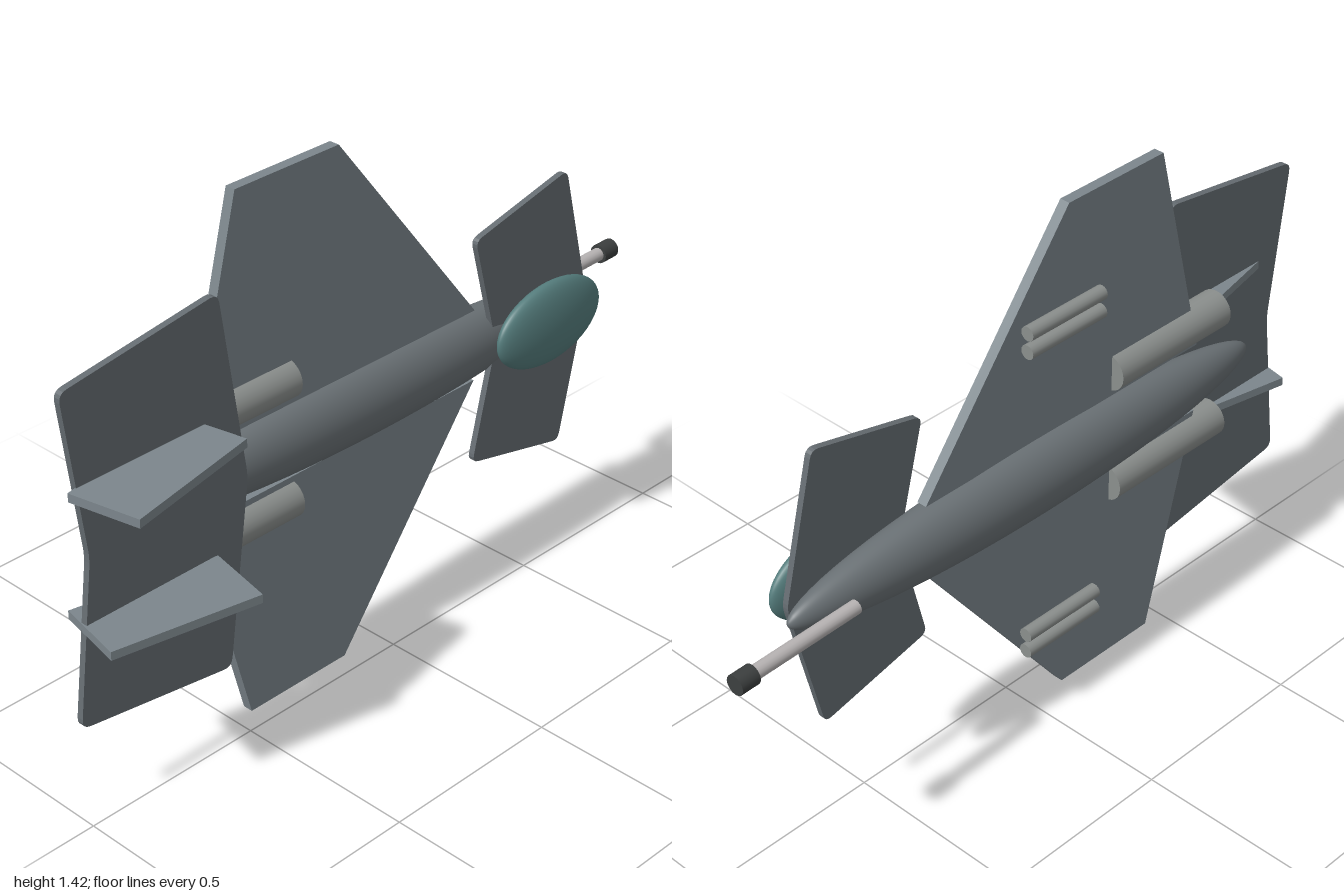
import * as THREE from 'three';

const MID = 0.71; // height of the centre line

const paint = (color, extra = {}) => {
  const m = new THREE.MeshStandardMaterial(extra);
  m.color.set(color);
  return m;
};

// Plate outline in x/y with optionally rounded corners, centred on depth z
function plate(points, thickness, radius) {
  const v = points.map(([x, y]) => new THREE.Vector2(x, y));
  const shape = new THREE.Shape();
  v.forEach((p, i) => {
    const prev = v[(i + v.length - 1) % v.length];
    const next = v[(i + 1) % v.length];
    const a = prev.clone().sub(p).setLength(radius).add(p);
    const b = next.clone().sub(p).setLength(radius).add(p);
    if (i === 0) shape.moveTo(a.x, a.y);
    else shape.lineTo(a.x, a.y);
    if (radius > 0) shape.quadraticCurveTo(p.x, p.y, b.x, b.y);
  });
  shape.closePath();
  const g = new THREE.ExtrudeGeometry(shape, { depth: thickness, bevelEnabled: false, curveSegments: 4 });
  return g.translate(0, 0, -thickness / 2);
}

// Cylinder lying along x
const rod = (radius, length, sides) =>
  new THREE.CylinderGeometry(radius, radius, length, sides).rotateZ(-Math.PI / 2);

export function createModel() {
  const model = new THREE.Group();
  model.name = 'aircraft';

  const hull = paint(0x6a7175);
  const wingGrey = paint(0x7c868c);
  const tailGrey = paint(0x666d72);
  const metal = paint(0x8b8f8d);
  const barrelGrey = paint(0xb8b4b4);
  const dark = paint(0x3c3f3f);
  const glass = paint(0x557d7d);

  const add = (name, geometry, material, x, y, z) => {
    const mesh = new THREE.Mesh(geometry, material);
    mesh.name = name;
    mesh.position.set(x, MID + y, z);
    model.add(mesh);
    return mesh;
  };

  // Body and canopy
  add('fuselage', new THREE.SphereGeometry(1, 48, 32).rotateZ(Math.PI / 2).scale(0.79, 0.104, 0.08), hull, -0.01, 0, -0.08);
  add('canopy', new THREE.SphereGeometry(1, 40, 24).rotateZ(Math.PI / 2).scale(0.192, 0.115, 0.04), glass, 0.567, 0.005, 0.002);

  // Canards and tailplane, each one swept plate mirrored about the centre line
  const mirrored = (half) => [...half, ...half.filter(([, y]) => y > 0).map(([x, y]) => [x, -y]).reverse()];
  const canard = [[0.395, 0], [0.315, 0.315], [0.65, 0.392], [0.745, 0]];
  const tail = [[-0.945, 0], [-1, 0.438], [-0.54, 0.503], [-0.468, 0]];
  const outline = ([inner, a, b, outer]) => [inner, a, b, outer, [b[0], -b[1]], [a[0], -a[1]]];
  add('canards', plate(outline(canard), 0.017, 0.022), tailGrey, 0, 0, -0.032);
  add('tailplane', plate(outline(tail), 0.018, 0.025), tailGrey, 0, 0, -0.024);

  for (const s of [1, -1]) {
    // Main wing
    const wing = [[0.35, 0.1 * s], [-0.12, 0.708 * s], [-0.443, 0.708 * s], [-0.6, 0.1 * s]];
    if (s < 0) wing.reverse();
    add('wing', plate(wing, 0.028, 0), wingGrey, 0, 0, -0.07);

    // Tail fins, canted in opposite directions
    const fin = add('tailFin', new THREE.BoxGeometry(0.393, 0.023, 0.194), wingGrey, -0.783, 0.181 * s, 0.043);
    fin.rotation.y = 0.2 * s;

    // Engines
    add('engine', rod(0.051, 0.4, 24), metal, -0.482, 0.165 * s, -0.071);

    // Missile pairs under the wing
    for (const y of [0.416, 0.466]) add('missile', rod(0.019, 0.25, 16), metal, -0.055, y * s, -0.136);
  }

  // Nose gun, tilted slightly
  const gun = new THREE.Group();
  gun.name = 'gun';
  gun.position.set(0.63, MID + 0.003, -0.144);
  gun.rotation.y = 0.027;
  const barrel = new THREE.Mesh(rod(0.018, 0.33, 16), barrelGrey);
  barrel.name = 'gunBarrel';
  barrel.position.x = 0.165;
  const muzzle = new THREE.Mesh(rod(0.026, 0.053, 16), dark);
  muzzle.name = 'gunMuzzle';
  muzzle.position.x = 0.343;
  gun.add(barrel, muzzle);
  model.add(gun);

  return model;
}
